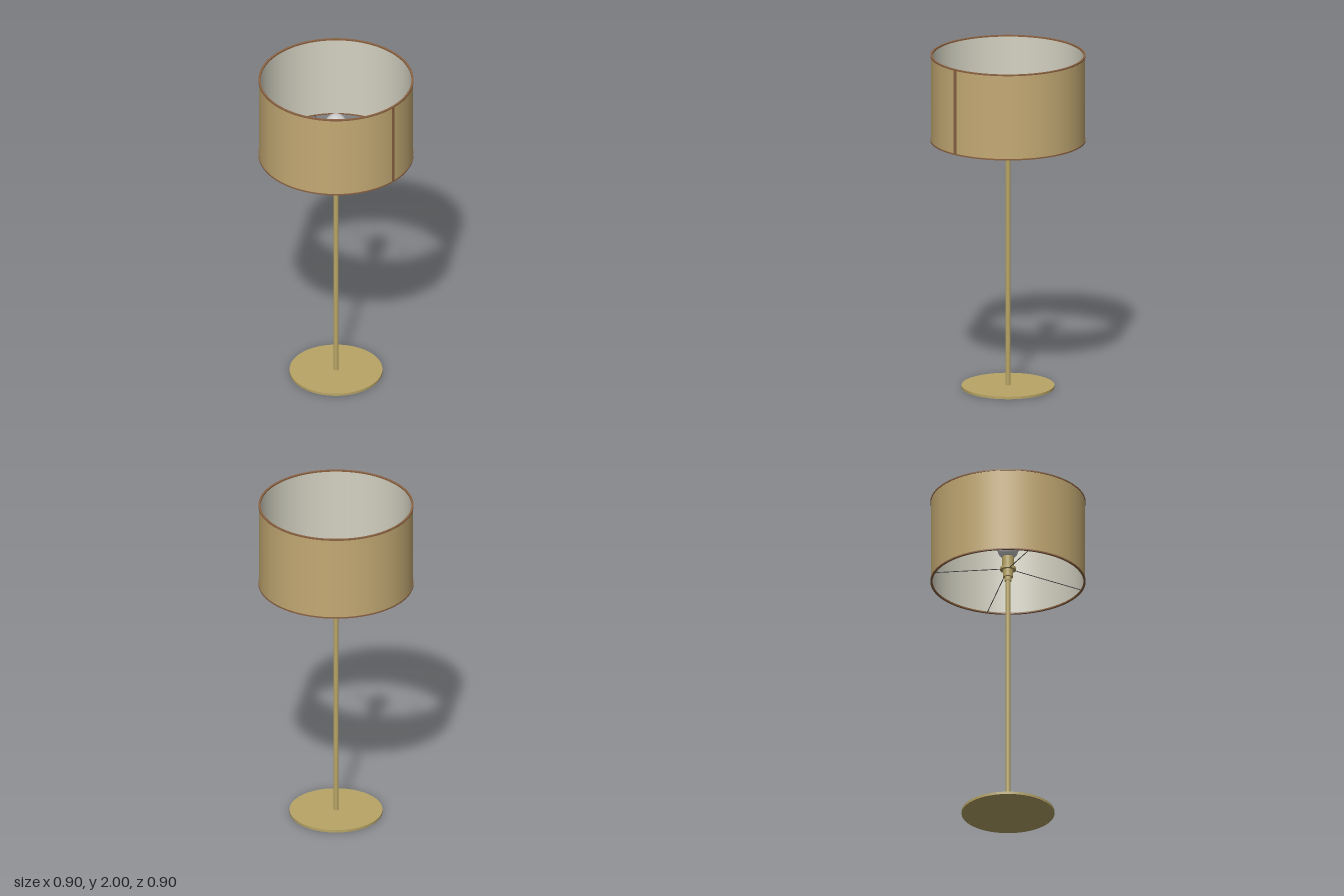
import * as THREE from 'three';

const BRASS = 0xb8a566, FABRIC = 0xc4aa74, LINING = 0xd4d2c2, TRIM = 0x8a6242, WIRE = 0x4a4a4a;
const SHADE = { radius: 0.448, bottom: 1.485, top: 2 };

function createModel() {
  const lamp = new THREE.Group();
  lamp.name = 'floorLamp';

  const add = (name, geometry, color = 0xcccccc, side = THREE.FrontSide) => {
    const mesh = new THREE.Mesh(geometry, new THREE.MeshStandardMaterial({ color, side }));
    mesh.name = name;
    lamp.add(mesh);
    return mesh;
  };
  const cylinder = (name, radius, y0, y1, color, segments = 32) => {
    const mesh = add(name, new THREE.CylinderGeometry(radius, radius, y1 - y0, segments), color);
    mesh.position.y = (y0 + y1) / 2;
    return mesh;
  };
  const lathe = (points) =>
    new THREE.LatheGeometry(points.map(([r, y]) => new THREE.Vector2(r, y)), 64);

  // Base plate and pole
  cylinder('base', 0.27, 0, 0.015, BRASS, 64);
  cylinder('pole', 0.015, 0.015, 1.5, BRASS, 24);

  // Bulb holder: collar, clamping ring and socket
  cylinder('collar', 0.02, 1.49, 1.515, BRASS);
  cylinder('socketBase', 0.029, 1.515, 1.56, BRASS);
  cylinder('clampRing', 0.046, 1.56, 1.575, BRASS);
  cylinder('socket', 0.034, 1.575, 1.645, BRASS);

  // Round bulb with a short neck
  add('bulb', new THREE.SphereGeometry(0.062, 32, 24)).position.y = 1.695;
  cylinder('bulbNeck', 0.03, 1.635, 1.66);

  // Drum shade: outer fabric and inner lining, open at both ends
  const { radius, bottom, top } = SHADE;
  add('shadeFabric', lathe([[radius, bottom], [radius, top]]), FABRIC, THREE.DoubleSide);
  add('shadeLining', lathe([[radius - 0.006, bottom], [radius - 0.006, top]]), LINING, THREE.DoubleSide);

  // Trim bands closing the shade's edges, each a narrow rectangular ring
  for (const [name, y] of [['bottomTrim', bottom], ['topTrim', top - 0.008]]) {
    const inner = radius - 0.009, outer = radius + 0.003;
    add(name, lathe([[inner, y], [outer, y], [outer, y + 0.008], [inner, y + 0.008], [inner, y]]),
      TRIM, THREE.DoubleSide).geometry = ringGeometry(inner, outer, y, 0.008);
  }

  // Vertical seam on the front left of the shade
  const seamAngle = 0.547;
  const seam = add('shadeSeam', new THREE.BoxGeometry(0.018, top - bottom, 0.004), TRIM);
  seam.position.set(Math.sin(seamAngle) * radius, (top + bottom) / 2, Math.cos(seamAngle) * radius);
  seam.rotation.y = seamAngle;

  // Four wire spokes rising from the lower trim to the clamping ring
  for (let i = 0; i < 4; i++) {
    const a = (i * Math.PI) / 2;
    const at = (r, y) => new THREE.Vector3(Math.cos(a) * r, y, Math.sin(a) * r);
    const path = new THREE.LineCurve3(at(0.03, 1.564), at(radius - 0.006, bottom + 0.004));
    add('spoke', new THREE.TubeGeometry(path, 1, 0.0025, 8), WIRE);
  }
  return lamp;
}

// Flat-sided ring with crisp edges
function ringGeometry(inner, outer, y, height) {
  const shape = new THREE.Shape().absarc(0, 0, outer, 0, Math.PI * 2);
  shape.holes.push(new THREE.Path().absarc(0, 0, inner, 0, Math.PI * 2, true));
  return new THREE.ExtrudeGeometry(shape, { depth: height, bevelEnabled: false, curveSegments: 64 })
    .rotateX(-Math.PI / 2).translate(0, y, 0);
}

export { createModel };
